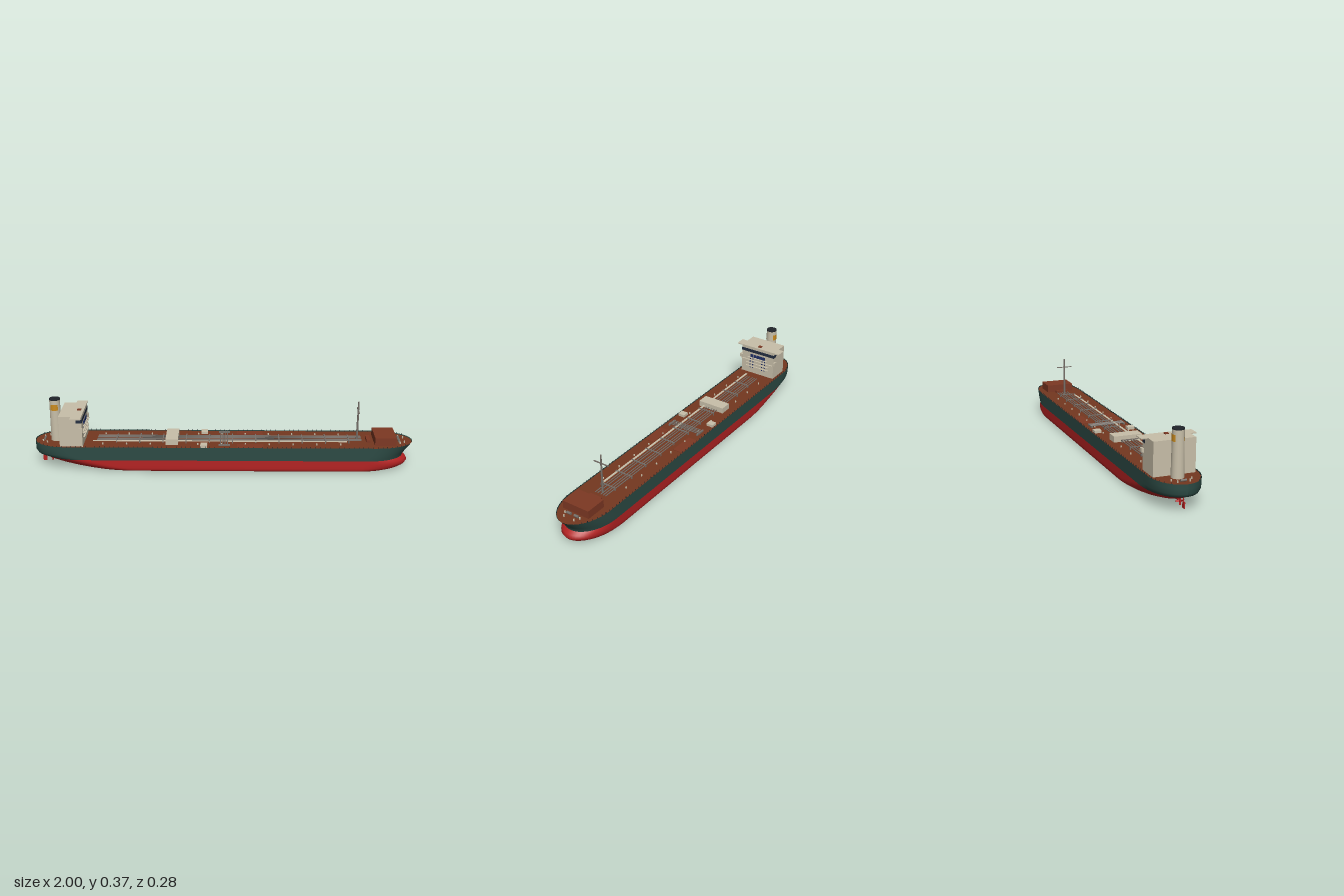
import * as THREE from 'three';
import { mergeGeometries } from 'three/addons/utils/BufferGeometryUtils.js';

const paint = (color, side = THREE.FrontSide) => new THREE.MeshStandardMaterial({ color, side });
const RED = paint(0xb32222, THREE.DoubleSide), GREEN = paint(0x2c4a44, THREE.DoubleSide);
const BROWN = paint(0x74371f), RUST = paint(0x7d3823), BEIGE = paint(0xc8bfa9);
const GREY = paint(0x777069), DARK = paint(0x20242a), BLUE = paint(0x1f2f66);
const GLASS = paint(0x242e40), ORANGE = paint(0xc98a1e, THREE.DoubleSide);

// Waterlines: height, aft end, fore end, half width, aft taper, fore taper
const LOWER = [
  [0.000, -0.740, 0.900, 0.112, 0.30, 0.22],
  [0.003, -0.755, 0.922, 0.118, 0.30, 0.22],
  [0.010, -0.790, 0.947, 0.122, 0.30, 0.22],
  [0.020, -0.840, 0.966, 0.123, 0.30, 0.22],
  [0.035, -0.895, 0.976, 0.123, 0.28, 0.21],
  [0.050, -0.935, 0.968, 0.123, 0.25, 0.20],
  [0.064, -0.962, 0.950, 0.123, 0.22, 0.19],
];
const UPPER = [
  LOWER[6],
  [0.075, -0.992, 0.952, 0.123, 0.20, 0.18],
  [0.090, -1.000, 0.963, 0.123, 0.18, 0.18],
  [0.115, -1.000, 0.983, 0.123, 0.17, 0.19],
  [0.137, -1.000, 1.000, 0.123, 0.17, 0.20],
];
const N = 64;

function halfWidth(x, [, xa, xf, w, la, lf]) {
  const s = Math.max(0, 1 - (x - xa) / la, 1 - (xf - x) / lf);
  return w * Math.sqrt(Math.max(0, 1 - Math.min(1, s) ** 2));
}

// Closed outline: aft to fore on +z, then back on -z
function outline(level) {
  const [y, xa, xf] = level, pts = [];
  for (let j = 0; j <= 2 * N; j++) {
    const x = xa + (xf - xa) * (1 - Math.cos(Math.PI * j / N)) / 2;
    pts.push(x, y, halfWidth(x, level) * (j <= N ? 1 : -1));
  }
  return pts;
}

function surface(positions, index) {
  const g = new THREE.BufferGeometry();
  g.setAttribute('position', new THREE.Float32BufferAttribute(positions, 3));
  g.setIndex(index);
  g.computeVertexNormals();
  return g;
}

function shell(levels) {
  const index = [], row = 2 * N + 1;
  for (let i = 0; i < levels.length - 1; i++) {
    for (let j = 0; j < 2 * N; j++) {
      const a = i * row + j, c = a + row;
      index.push(a, a + 1, c, a + 1, c + 1, c);
    }
  }
  return surface(levels.flatMap(outline), index);
}

function plate(level, up) {
  const index = [];
  for (let j = 0; j < N; j++) {
    const p = j, q = j + 1, r = 2 * N - j, s = r - 1;
    if (up) index.push(p, q, r, q, s, r);
    else index.push(p, r, q, q, r, s);
  }
  return surface(outline(level), index);
}

const block = (w, h, d, x, y, z) => new THREE.BoxGeometry(w, h, d).translate(x, y, z);
const rod = (r, len, axis, x, y, z, sides = 8) => {
  const g = new THREE.CylinderGeometry(r, r, len, sides);
  if (axis === 'x') g.rotateZ(Math.PI / 2);
  if (axis === 'z') g.rotateX(Math.PI / 2);
  return g.translate(x, y, z);
};

export function createModel() {
  const ship = new THREE.Group();
  ship.name = 'tankerShip';
  const add = (name, material, ...geos) => {
    const mesh = new THREE.Mesh(geos.length > 1 ? mergeGeometries(geos) : geos[0], material);
    mesh.name = name;
    ship.add(mesh);
    return mesh;
  };
  const both = (f) => [1, -1].map(f);

  // Hull and deck
  add('lowerHull', RED, shell(LOWER));
  add('hullBottom', RED, plate(LOWER[0], false));
  add('upperHull', GREEN, shell(UPPER));
  add('deck', BROWN, plate([0.133, -0.997, 0.997, 0.121, 0.17, 0.2], true));

  // Rail posts along the deck edge
  const posts = [];
  for (let x = -0.97; x < 0.98; x += 0.025) {
    const z = halfWidth(x, UPPER[4]) - 0.003;
    posts.push(...both(s => block(0.002, 0.009, 0.002, x, 0.138, s * z)));
  }
  add('railPosts', DARK, ...posts);

  // Rudder and propeller
  add('rudder', RED, block(0.02, 0.03, 0.005, -0.958, 0.026, 0), rod(0.003, 0.04, 'y', -0.955, 0.055, 0));
  const blades = [rod(0.005, 0.05, 'x', -0.9, 0.032, 0)];
  for (let i = 0; i < 4; i++) {
    blades.push(new THREE.BoxGeometry(0.003, 0.019, 0.009).rotateY(0.5).translate(0, 0.011, 0)
      .rotateX(i * Math.PI / 2).translate(-0.918, 0.032, 0));
  }
  add('propeller', RED, ...blades);

  // Accommodation house, bridge wings and balconies
  add('accommodation', BEIGE, block(0.12, 0.167, 0.21, -0.795, 0.2165, 0));
  add('bridgeWings', BEIGE, block(0.056, 0.005, 0.276, -0.763, 0.2975, 0));
  add('bridgeWindows', GLASS, block(0.03, 0.018, 0.212, -0.749, 0.274, 0));
  add('balconies', BEIGE, ...[[0.233, 0.13], [0.216, 0.21], [0.196, 0.15], [0.176, 0.15]]
    .map(([y, d]) => block(0.01, 0.003, d, -0.731, y, 0)));
  const wing = new THREE.Shape([[0.1, 0.215], [0.117, 0.222], [0.117, 0.24], [0.1, 0.238]]
    .map(p => new THREE.Vector2(...p)));
  both(s => {
    const g = new THREE.ExtrudeGeometry(wing, { depth: 0.022, bevelEnabled: false });
    g.rotateY(-Math.PI / 2).translate(-0.73, 0, 0);
    if (s < 0) g.rotateY(Math.PI).translate(-1.482, 0, 0);
    add('sideBalcony', BEIGE, g);
  });
  const panes = [-0.04, -0.02, 0, 0.02, 0.04].map(z => block(0.004, 0.018, 0.016, -0.734, 0.244, z));
  for (const y of [0.224, 0.206, 0.187, 0.168]) {
    for (const z of [0.03, 0.048]) panes.push(...both(s => block(0.004, 0.006, 0.006, -0.734, y, s * z)));
  }
  add('cabinWindows', BLUE, ...panes);
  add('roofHatch', RUST, block(0.02, 0.004, 0.02, -0.76, 0.302, 0));

  // Funnel with coloured side panels and dark cap
  add('funnel', BEIGE, new THREE.CylinderGeometry(0.028, 0.031, 0.225, 16).translate(-0.887, 0.2455, 0));
  add('funnelCap', DARK, rod(0.029, 0.006, 'y', -0.887, 0.361, 0, 16), rod(0.006, 0.008, 'y', -0.88, 0.362, 0));
  both(s => add('funnelPanel', ORANGE,
    new THREE.CylinderGeometry(0.0292, 0.0297, 0.032, 10, 1, true, (s > 0 ? 0 : Math.PI) - 0.7, 1.4)
      .translate(-0.887, 0.32, 0)));

  // Midship house, side lockers and fore house
  add('midshipHouse', BEIGE, block(0.065, 0.031, 0.152, -0.272, 0.1485, 0));
  add('sideLockers', BEIGE, ...both(s => block(0.036, 0.014, 0.038, -0.103, 0.14, s * 0.092)));
  add('foreHouse', RUST, block(0.112, 0.042, 0.154, 0.85, 0.154, 0));
  add('foreStep', RUST, block(0.02, 0.015, 0.07, 0.765, 0.14, 0));
  add('deckPads', RUST, ...both(s => block(0.14, 0.003, 0.055, 0.14, 0.134, s * 0.09)));

  // Fore mast
  add('foreMast', GREY, new THREE.CylinderGeometry(0.004, 0.006, 0.218, 10).translate(0.707, 0.241, 0),
    block(0.006, 0.004, 0.09, 0.707, 0.302, 0));

  // Cargo pipes, catwalk and support frames
  add('cargoPipes', GREY, ...[-0.036, -0.022, -0.008, 0.012, 0.026]
    .map(z => rod(0.0028, 1.4, 'x', 0.03, 0.141, z, 6)));
  add('catwalk', BEIGE, block(1.34, 0.003, 0.011, -0.02, 0.143, 0.044));
  const frames = [];
  for (let x = -0.565; x < 0.75; x += 0.1225) {
    const d = frames.length % 2 ? 0.1 : 0.09;
    frames.push(block(0.006, 0.004, d, x, 0.146, 0.003));
    frames.push(...both(s => block(0.006, 0.014, 0.004, x, 0.139, 0.003 + s * (d / 2 - 0.002))));
  }
  add('pipeFrames', GREY, ...frames);

  // Midship manifold
  add('manifold', GREY, ...[-0.016, -0.004, 0.008, 0.02].map(x => rod(0.003, 0.19, 'z', x, 0.143, 0, 6)),
    ...both(s => block(0.06, 0.008, 0.008, 0.003, 0.139, s * 0.09)));

  // Bollards on the main deck and mooring gear at the ends
  const bollards = [];
  for (let x = -0.635; x < 0.7; x += 0.125) {
    bollards.push(...both(s => rod(0.004, 0.008, 'y', x, 0.137, s * 0.07)));
  }
  for (const [x, z] of [[0.93, 0.045], [0.955, 0.03], [-0.93, 0.05], [-0.955, 0.03]]) {
    bollards.push(...both(s => rod(0.004, 0.01, 'y', x, 0.138, s * z)));
  }
  add('bollards', BEIGE, ...bollards);
  add('windlasses', GREY, ...both(s => rod(0.007, 0.025, 'z', 0.928, 0.14, s * 0.022)),
    rod(0.006, 0.03, 'z', -0.95, 0.139, 0));

  return ship;
}
